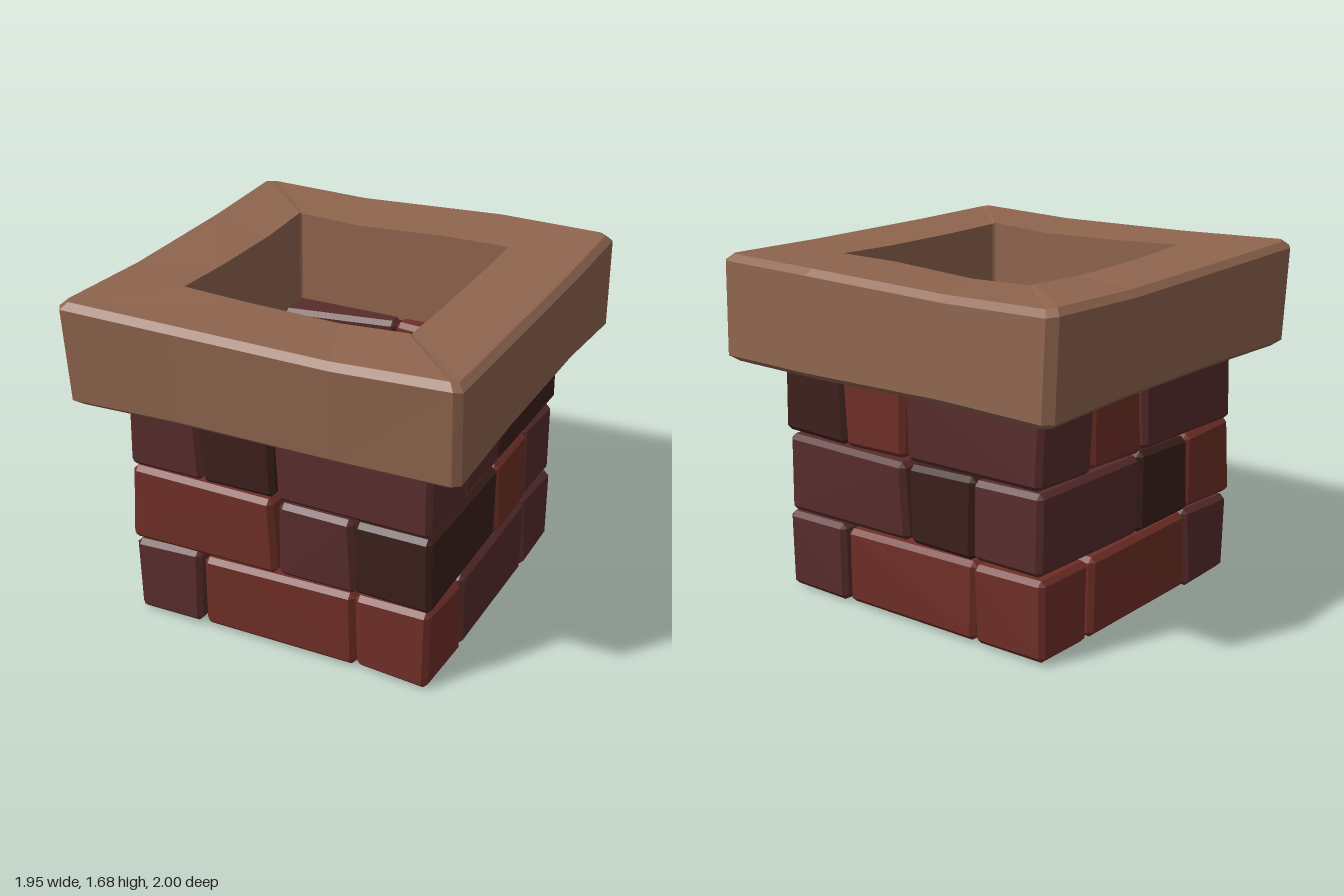
import * as THREE from 'three';
import { ConvexGeometry } from 'three/addons/geometries/ConvexGeometry.js';

const material = (color, side = THREE.FrontSide) =>
  new THREE.MeshStandardMaterial({ color, flatShading: true, side });

// Seeded wobble in the range -size..size
let seed = 11;
function wobble(size) {
  seed = (seed * 16807) % 2147483647;
  return (seed / 2147483647 * 2 - 1) * size;
}

const OUTER = 0.775;  // half width of the stack

// Chamfered, slightly crooked brick on the front wall, from u0 to u1.
// The inner face comes closer to the centre towards the corners.
function brickGeometry(u0, u1, y0, y1, innerAt) {
  const bevel = 0.024, points = [];
  for (const sx of [-1, 1]) for (const sy of [-1, 1]) for (const sz of [-1, 1]) {
    const u = sx < 0 ? u0 : u1;
    const corner = [
      u + wobble(0.011),
      (sy < 0 ? y0 : y1) + wobble(0.008),
      (sz > 0 ? OUTER : innerAt(u)) + wobble(0.011),
    ];
    // three points per corner, each lying on one of the adjoining faces
    for (let face = 0; face < 3; face++) {
      points.push(new THREE.Vector3(...corner.map((v, k) =>
        k === face ? v : v - [sx, sy, sz][k] * bevel)));
    }
  }
  return new ConvexGeometry(points);
}

// Square ring swept from a cross-section of [half width, height, corner cut]
function capGeometry() {
  const profile = [
    [0.925, 1.155, 0.03], [0.965, 1.185, 0.035], [0.972, 1.625, 0.035],
    [0.94, 1.655, 0.03], [0.565, 1.645, 0.008], [0.575, 1.16, 0.008],
  ];
  const perSide = 4, count = perSide * 4, rings = profile.length;
  // Uneven rim: per perimeter point, outward push, top lift and bottom lift
  const push = [0.015, 0, 0, -0.008, 0, 0, 0.003, 0, 0, 0.026, 0, 0.006, 0.004, 0, -0.014, 0];
  const topLift = [0.016, 0, -0.012, 0.006, 0, -0.004, -0.002, 0.008, 0.01, 0.01, -0.012, 0, 0.006, -0.01, -0.004, 0.012];
  const bottomLift = [0, 0.004, 0, 0, 0, 0.03, 0.04, 0, 0, 0.005, 0.01, 0, 0, 0.012, 0.004, 0];
  const positions = [], index = [];
  for (let i = 0; i < count; i++) {
    const side = Math.floor(i / perSide), k = i % perSide;
    const c = Math.round(Math.cos(side * Math.PI / 2)), s = Math.round(Math.sin(side * Math.PI / 2));
    profile.forEach(([half, height, cut], j) => {
      const u = [-(half - cut), -half * 0.4, half * 0.4, half - cut][k];
      const out = half + (j < 4 ? push[i] : 0);
      const top = j > 1 && j < 5;
      const y = height + (top ? topLift[i] : j < 2 ? bottomLift[i] : 0);
      const lean = top ? 0.012 : -0.012;   // the block leans slightly forward
      positions.push(u * c + out * s, y, -u * s + out * c + (j < 4 ? lean : 0));
      const next = (i + 1) % count, up = (j + 1) % rings;
      const a = i * rings + j, b = next * rings + j, d = i * rings + up, e = next * rings + up;
      index.push(a, b, e, a, e, d);
    });
  }
  const indexed = new THREE.BufferGeometry();
  indexed.setAttribute('position', new THREE.Float32BufferAttribute(positions, 3));
  indexed.setIndex(index);
  const geometry = indexed.toNonIndexed();
  geometry.computeVertexNormals();
  return geometry;
}

export function createModel() {
  seed = 11;
  const model = new THREE.Group();
  model.name = 'chimney';

  const bricks = {
    R: material(0x702f27),
    M: material(0x582c2c),
    D: material(0x3c201b),
  };
  const taper = u => 0.5 - 0.14 * Math.abs(u);
  const straight = () => 0.41;

  // Each course repeats its bricks on the front, right, back and left walls;
  // the colour letters follow that order.
  const courses = [
    { name: 'bottomCourse', y: [0, 0.39], parts: [
      ['middleBrick', -0.39, 0.39, 'RMRR', straight],
      ['cornerBrick', 0.4, OUTER, 'RMRM', straight]] },
    { name: 'middleCourse', y: [0.4, 0.785], parts: [
      ['longBrick', -OUTER, -0.005, 'RDMM', taper],
      ['shortBrick', 0.005, 0.395, 'MRDD', taper]] },
    { name: 'topCourse', y: [0.795, 1.175], parts: [
      ['longBrick', 0.005, OUTER, 'MDMM', taper],
      ['shortBrick', -0.395, -0.005, 'DMRR', taper]] },
  ];

  for (const { name, y, parts } of courses) {
    const course = new THREE.Group();
    course.name = name;
    for (const [part, u0, u1, colors, innerAt] of parts) {
      for (let side = 0; side < 4; side++) {
        const brick = new THREE.Mesh(brickGeometry(u0, u1, ...y, innerAt), bricks[colors[side]]);
        brick.name = part;
        brick.rotation.y = side * Math.PI / 2;
        course.add(brick);
      }
    }
    model.add(course);
  }

  // Heavy stone cap with a square opening
  const cap = new THREE.Mesh(capGeometry(), material(0x8f654e));
  cap.name = 'cap';
  model.add(cap);

  return model;
}
